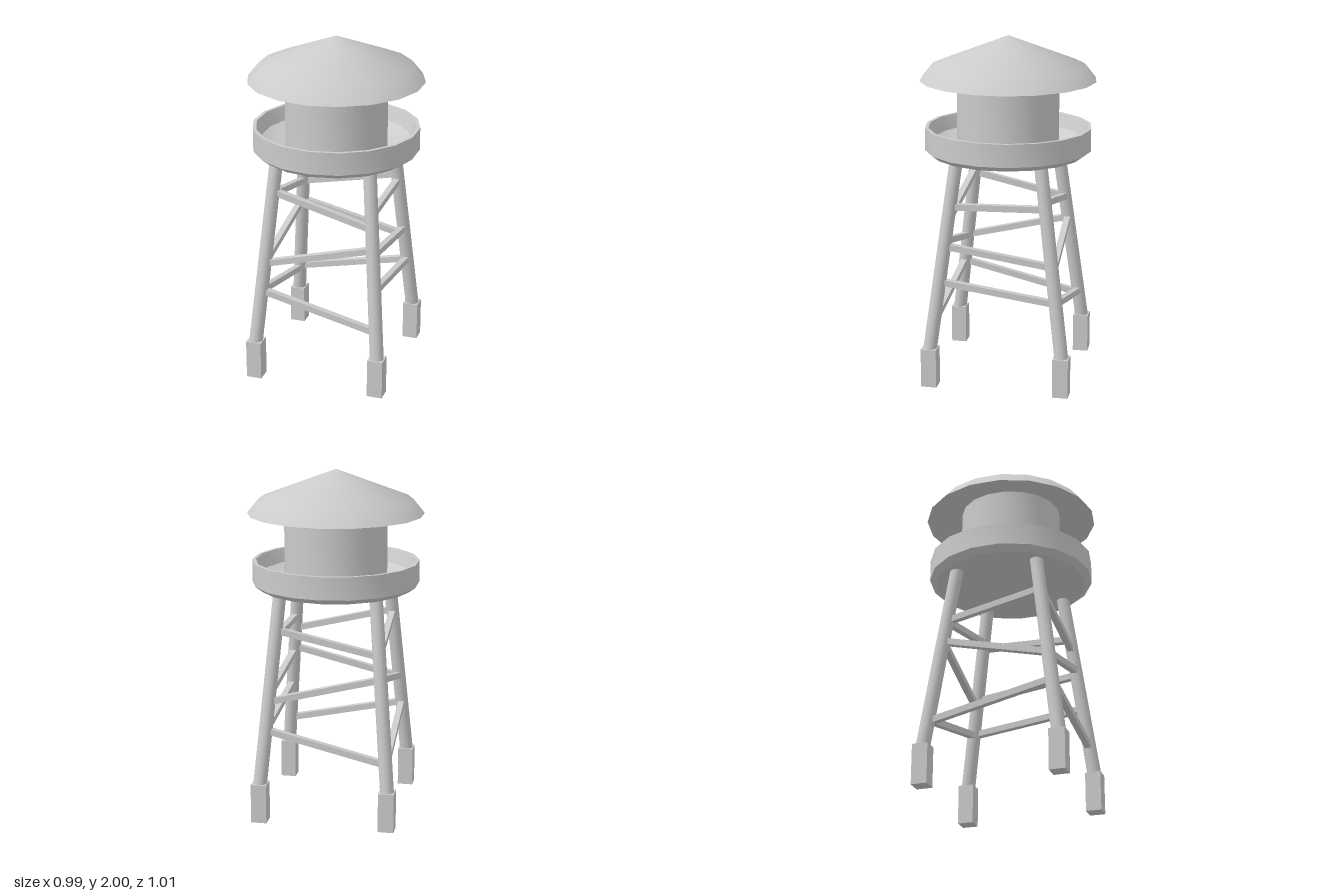
import * as THREE from 'three';
import { toCreasedNormals } from 'three/addons/utils/BufferGeometryUtils.js';

const grey = new THREE.MeshStandardMaterial({ color: 0xcccccc });
const SIDES = 18;

export function createModel() {
  const group = new THREE.Group();
  group.name = 'waterTower';

  function add(name, geometry) {
    const mesh = new THREE.Mesh(geometry, grey);
    mesh.name = name;
    group.add(mesh);
    return mesh;
  }

  // Turned part: profile of [radius, y], smooth around, sharp at edges
  function turned(name, profile, crease = 0.6) {
    const points = profile.map(([r, y]) => new THREE.Vector2(r, y));
    return add(name, toCreasedNormals(new THREE.LatheGeometry(points, SIDES), crease));
  }

  // Places a y-aligned part between two points
  function span(mesh, a, b) {
    mesh.position.copy(a).add(b).multiplyScalar(0.5);
    const dir = b.clone().sub(a).normalize();
    mesh.quaternion.setFromUnitVectors(new THREE.Vector3(0, 1, 0), dir);
  }

  // Roof with a steeper flared rim and a hollow underside
  turned('roof', [[0, 1.81], [0.29, 1.8], [0.505, 1.75], [0.44, 1.83], [0, 2]]);

  // Tank drum
  turned('tank', [[0, 1.34], [0.295, 1.34], [0.295, 1.82], [0, 1.82]]);

  // Open basin with a bevelled foot and a thin rim
  turned('basin', [
    [0, 1.32], [0.44, 1.32], [0.48, 1.35], [0.48, 1.48],
    [0.46, 1.48], [0.43, 1.4], [0.36, 1.36], [0, 1.35],
  ]);

  // Centre line of the leaning leg in the corner (sx, sz) at height y
  function legPoint(sx, sz, y) {
    const t = (y - 0.22) / 1.1;
    return new THREE.Vector3(sx * (0.37 - 0.095 * t), y, sz * (0.385 - 0.143 * t));
  }

  // Legs and footings
  for (const sx of [-1, 1]) {
    for (const sz of [-1, 1]) {
      const low = legPoint(sx, sz, 0.2);
      const high = legPoint(sx, sz, 1.335);
      const leg = add('leg', new THREE.CylinderGeometry(0.038, 0.04, low.distanceTo(high), 16));
      span(leg, low, high);
      const footing = add('footing', new THREE.BoxGeometry(0.09, 0.23, 0.09));
      footing.position.set(sx * 0.37, 0.115, sz * 0.385);
    }
  }

  // Cross braces: two corners of each side, then pairs of end heights
  const braces = [
    { name: 'frontBrace', a: [-1, 1], b: [1, 1], ends: [[0.54, 0.385], [0.705, 0.865], [1.135, 0.985]] },
    { name: 'backBrace', a: [-1, -1], b: [1, -1], ends: [[0.385, 0.54], [0.865, 0.705], [0.995, 1.115]] },
    { name: 'leftBrace', a: [1, 1], b: [1, -1], ends: [[0.625, 0.54], [0.835, 0.75], [1.063, 1.077]] },
    { name: 'rightBrace', a: [-1, 1], b: [-1, -1], ends: [[0.54, 0.37], [0.71, 0.865], [1.12, 0.995]] },
  ];
  for (const { name, a, b, ends } of braces) {
    for (const [ya, yb] of ends) {
      const p = legPoint(...a, ya);
      const q = legPoint(...b, yb);
      const bar = add(name, new THREE.BoxGeometry(0.036, 0.036, p.distanceTo(q)));
      bar.position.copy(p).add(q).multiplyScalar(0.5);
      bar.lookAt(q);
    }
  }

  return group;
}
